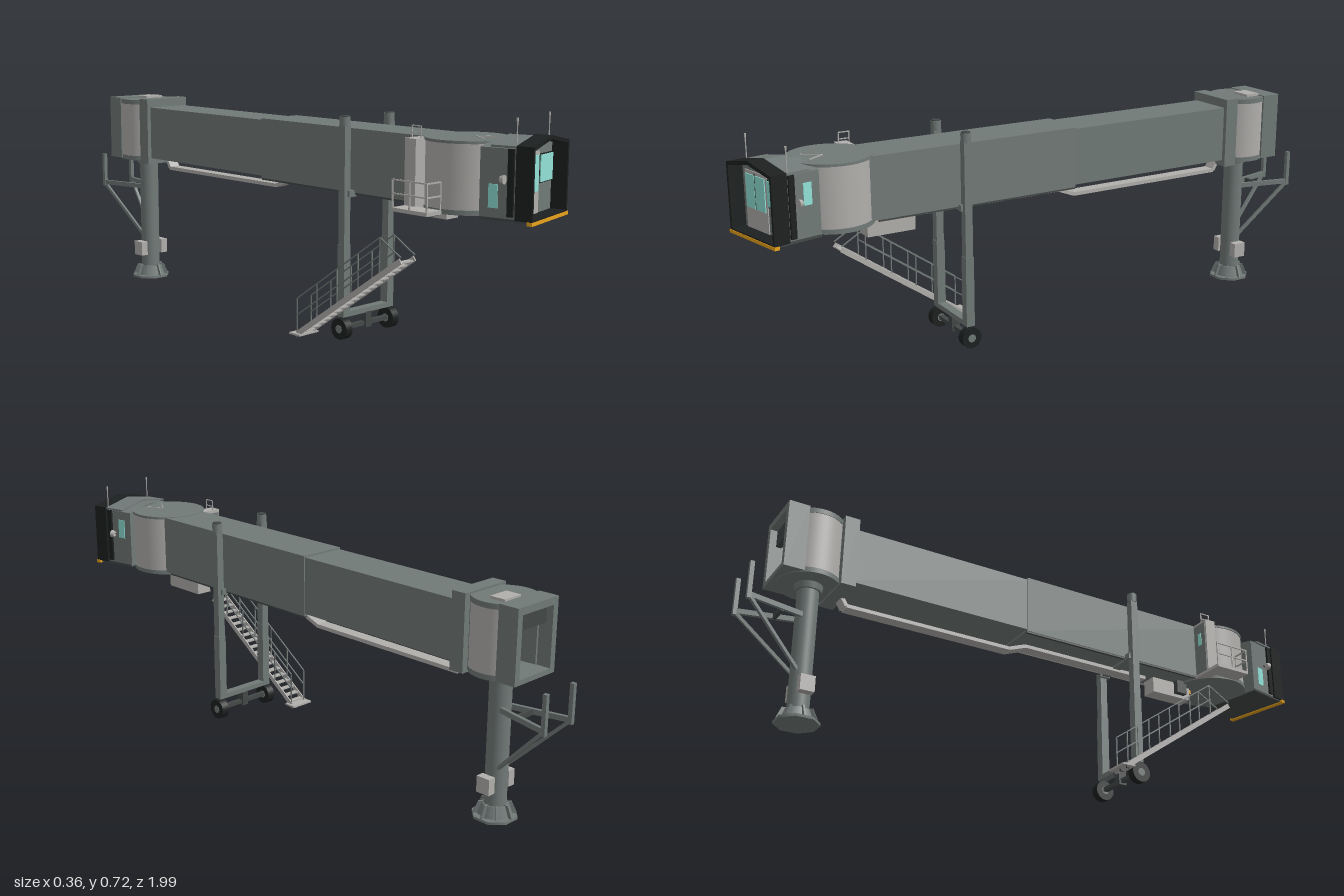
import * as THREE from 'three';

const mat = (name, color, side = THREE.FrontSide) => {
  const m = new THREE.MeshStandardMaterial({ color, side });
  m.name = name;
  return m;
};

export function createModel() {
  const steel = mat('steel grey', 0x717a78, THREE.DoubleSide);
  const light = mat('light grey', 0xb1afac, THREE.DoubleSide);
  const dark = mat('dark grey', 0x434847);
  const black = mat('black', 0x1d2020);
  const glass = mat('glass', 0x92e2d8);
  const yellow = mat('bumper yellow', 0xeba61a);

  const model = new THREE.Group();
  model.name = 'boardingBridge';
  let parent = model;
  const add = (name, geo, m, x = 0, y = 0, z = 0) => {
    const mesh = new THREE.Mesh(geo, m);
    mesh.name = name;
    mesh.position.set(x, y, z);
    parent.add(mesh);
    return mesh;
  };
  // Box given by its extents on each axis
  const box = (name, m, x0, x1, y0, y1, z0, z1) =>
    add(name, new THREE.BoxGeometry(x1 - x0, y1 - y0, z1 - z0), m, (x0 + x1) / 2, (y0 + y1) / 2, (z0 + z1) / 2);
  const cyl = (name, m, r0, r1, y0, y1, x, z, n = 32) =>
    add(name, new THREE.CylinderGeometry(r1, r0, y1 - y0, n), m, x, (y0 + y1) / 2, z);
  // Square bar between two points
  const bar = (name, m, a, b, w, h = w) => {
    const A = new THREE.Vector3(...a), B = new THREE.Vector3(...b);
    const mesh = add(name, new THREE.BoxGeometry(w, h, A.distanceTo(B)), m);
    mesh.position.copy(A).add(B).multiplyScalar(0.5);
    mesh.lookAt(B);
    return mesh;
  };
  const poly = (pts) => new THREE.Shape(pts.map(([x, y]) => new THREE.Vector2(x, y)));
  const extrude = (shape, depth) => new THREE.ExtrudeGeometry(shape, { depth, bevelEnabled: false });
  const rect = (x0, x1, y0, y1) => poly([[x0, y0], [x1, y0], [x1, y1], [x0, y1]]);

  const cx = 0.029; // tunnel centre line

  // Telescoping tunnel
  box('outerTunnel', steel, cx - 0.078, cx + 0.078, 0.452, 0.646, -0.08, 0.64);
  box('innerTunnel', steel, cx - 0.074, cx + 0.074, 0.459, 0.641, -0.70, -0.07);
  for (const s of [-1, 1]) {
    box('tunnelRail', dark, cx + s * 0.072 - 0.004, cx + s * 0.072 + 0.004, 0.446, 0.452, -0.08, 0.6);
  }

  // Cable tray and boxes under the tunnel
  const tray = [[0.44, 0.44], [-0.04, 0.44], [-0.10, 0.417], [-0.67, 0.417], [-0.69, 0.45]];
  for (let i = 0; i < tray.length - 1; i++) {
    const [z0, y0] = tray[i], [z1, y1] = tray[i + 1];
    bar('cableTray', light, [0.05, y0, z0], [0.05, y1, z1], 0.04, 0.012);
  }
  box('equipmentBox', light, 0.033, 0.086, 0.398, 0.455, 0.475, 0.63);
  box('junctionBox', dark, 0.008, 0.028, 0.406, 0.455, 0.56, 0.60);
  box('warningLamp', yellow, 0.034, 0.042, 0.425, 0.438, 0.63, 0.638);

  // Rear rotunda with an open doorway
  const rz = -0.795;
  box('rotundaCollar', steel, cx - 0.088, cx + 0.088, 0.438, 0.67, -0.727, -0.68);
  box('rotundaDoorway', dark, cx - 0.06, cx + 0.06, 0.462, 0.63, -0.73, -0.727);
  cyl('rotundaRoof', steel, 0.096, 0.096, 0.648, 0.664, cx, rz, 40);
  cyl('rotundaFloor', steel, 0.096, 0.096, 0.445, 0.461, cx, rz, 40);
  for (const a of [0.2, 1.2]) {
    add('rotundaCurtain', new THREE.CylinderGeometry(0.094, 0.094, 0.2, 20, 1, true, Math.PI * a, Math.PI * 0.6),
      light, cx, 0.554, rz);
  }
  const portal = rect(cx - 0.088, cx + 0.088, 0.447, 0.667);
  portal.holes.push(rect(cx - 0.068, cx + 0.068, 0.462, 0.645));
  add('rearPortal', extrude(portal, 0.065), steel, 0, 0, -0.907);
  for (const s of [-1, 1]) {
    box('innerWall', steel, cx + s * 0.066 - 0.002, cx + s * 0.066 + 0.002, 0.46, 0.648, -0.86, -0.728);
  }
  box('rollerShutter', dark, cx - 0.068, cx + 0.068, 0.59, 0.645, -0.885, -0.855);
  box('roofUnit', light, 0.02, 0.09, 0.664, 0.672, -0.84, -0.79);

  // Pedestal column
  cyl('pedestal', steel, 0.033, 0.033, 0, 0.43, cx, rz);
  cyl('pedestalHead', steel, 0.04, 0.044, 0.425, 0.446, cx, rz);
  cyl('pedestalBase', steel, 0.068, 0.068, 0, 0.008, cx, rz, 8).rotation.y = Math.PI / 8;
  for (let i = 0; i < 8; i++) {
    const g = extrude(poly([[0.03, 0.008], [0.064, 0.008], [0.048, 0.045], [0.03, 0.045]]), 0.005);
    add('baseGusset', g.translate(0, 0, -0.0025), steel, cx, 0, rz).rotation.y = (i * Math.PI) / 4;
  }
  cyl('baseCollar', steel, 0.052, 0.04, 0.008, 0.042, cx, rz, 8);
  for (const s of [-1, 1]) {
    const bx = cx + s * 0.045, px = cx + s * 0.061;
    box('controlBox', light, bx - 0.013, bx + 0.013, 0.085, 0.135, -0.815, -0.77);
    // Stand bracket behind the pedestal
    bar('bracketPost', steel, [px, 0.325, -0.991], [px, 0.445, -0.991], 0.013);
    bar('bracketArm', steel, [cx + s * 0.02, 0.338, -0.81], [px, 0.338, -0.991], 0.011, 0.016);
    bar('bracketBrace', steel, [cx + s * 0.02, 0.16, -0.815], [px, 0.33, -0.985], 0.010);
  }
  bar('bracketCrossBar', dark, [cx - 0.034, 0.336, -0.88], [cx + 0.034, 0.336, -0.88], 0.01, 0.016);

  // Lift columns, axle and wheels
  const lz = 0.32, lx = 0.025;
  for (const s of [-1, 1]) {
    const x = lx + s * 0.097, wx = lx + s * 0.104;
    box('lowerLiftColumn', steel, x - 0.014, x + 0.014, 0.07, 0.295, lz - 0.014, lz + 0.014);
    box('upperLiftColumn', steel, x - 0.0125, x + 0.0125, 0.295, 0.655, lz - 0.0125, lz + 0.0125);
    cyl('columnCap', steel, 0.016, 0.016, 0.652, 0.682, x, lz, 16);
    cyl('columnLid', dark, 0.014, 0.014, 0.682, 0.685, x, lz, 16);
    add('tire', new THREE.CylinderGeometry(0.033, 0.033, 0.027, 28).rotateZ(Math.PI / 2), black, wx, 0.033, lz);
    add('wheelHub', new THREE.CylinderGeometry(0.013, 0.013, 0.029, 16).rotateZ(Math.PI / 2), steel, wx, 0.033, lz);
    box('liftBracket', steel, Math.min(x, cx + s * 0.07), Math.max(x, cx + s * 0.07), 0.44, 0.46, lz - 0.02, lz + 0.02);
  }
  box('crossBeam', steel, -0.086, 0.136, 0.07, 0.086, lz - 0.014, lz + 0.014);
  box('axle', dark, -0.07, 0.12, 0.028, 0.041, lz - 0.008, lz + 0.008);
  box('bogiePivot', dark, 0.013, 0.037, 0.022, 0.072, lz - 0.014, lz + 0.014);
  box('liftBeam', steel, -0.07, 0.12, 0.442, 0.453, lz - 0.014, lz + 0.014);

  // Front rotunda
  const fx = 0.022, fz = 0.712;
  cyl('cabRotunda', light, 0.122, 0.122, 0.455, 0.64, fx, fz, 48);
  cyl('cabRotundaRoof', steel, 0.125, 0.125, 0.64, 0.648, fx, fz, 48);
  cyl('cabRotundaFloor', steel, 0.125, 0.125, 0.443, 0.457, fx, fz, 48);
  for (const s of [-1, 1]) bar('roofHandle', light, [cx, 0.65, 0.735], [cx + s * 0.035, 0.65, 0.79], 0.003);

  // Service door, landing and roof rail
  box('serviceVestibule', light, -0.117, -0.03, 0.445, 0.645, 0.6, 0.64);
  box('serviceDoor', steel, -0.112, -0.055, 0.455, 0.635, 0.597, 0.6);
  box('serviceWindow', glass, -0.092, -0.076, 0.555, 0.6, 0.595, 0.597);
  box('landing', light, -0.17, -0.108, 0.443, 0.454, 0.6, 0.73);
  for (const y of [0.494, 0.533]) {
    bar('landingRail', light, [-0.168, y, 0.602], [-0.168, y, 0.728], 0.004);
    bar('landingRail', light, [-0.168, y, 0.728], [-0.11, y, 0.728], 0.004);
  }
  for (const [x, z] of [[-0.168, 0.602], [-0.168, 0.665], [-0.168, 0.728], [-0.112, 0.728]]) {
    bar('landingPost', light, [x, 0.45, z], [x, 0.535, z], 0.004);
  }
  for (const z of [0.602, 0.636]) {
    const y = 0.645 + (z - 0.58) * 0.6;
    bar('roofRailPost', light, [-0.09, 0.645, z], [-0.09, 0.68, z], 0.003);
    bar('roofRail', light, [-0.09, y, 0.602], [-0.09, y, 0.636], 0.003);
  }

  // Service stairs
  const foot = [0.215, 0.012], head = [0.635, 0.305];
  const at = (t, up = 0) => [foot[1] + (head[1] - foot[1]) * t + up, foot[0] + (head[0] - foot[0]) * t];
  for (const x of [-0.167, -0.108]) {
    bar('stairStringer', light, [x, ...at(0)], [x, ...at(1)], 0.004, 0.016);
    for (const up of [0.06, 0.112]) bar('handrail', steel, [x, ...at(0, up)], [x, ...at(0.81, up)], 0.0035);
    bar('handrailEnd', steel, [x, ...at(0.81, 0.112)], [x, ...at(1, 0.01)], 0.0035);
    for (let i = 0; i < 5; i++) bar('handrailPost', steel, [x, ...at(i * 0.2025)], [x, ...at(i * 0.2025, 0.112)], 0.0035);
  }
  for (let i = 0; i < 18; i++) {
    const [y, z] = at((i + 0.5) / 18);
    box('tread', light, -0.167, -0.108, y - 0.002, y + 0.002, z - 0.01, z + 0.01);
  }
  box('stairFoot', light, -0.178, -0.097, 0.008, 0.014, 0.19, 0.235);
  for (const x of [-0.172, -0.138, -0.103]) box('stairCaster', dark, x - 0.003, x + 0.003, 0, 0.009, 0.205, 0.217);

  // Cab, turned a little to its left
  const cab = new THREE.Group();
  cab.name = 'cab';
  cab.position.set(0.008, 0, 0.717);
  cab.rotation.y = 0.21;
  model.add(cab);
  parent = cab;
  const gable = (w, y0, eave, peak) => poly([[-w, y0], [w, y0], [w, eave], [0, peak], [-w, eave]]);
  add('cabBody', extrude(gable(0.108, 0.445, 0.638, 0.656), 0.112), steel, 0, 0, 0.098);
  add('cabRoofStep', extrude(poly([[-0.112, 0.64], [0, 0.659], [0.112, 0.64], [0.112, 0.646], [0, 0.665], [-0.112, 0.646]]), 0.08),
    steel, 0, 0, 0.13);
  const hood = gable(0.116, 0.447, 0.647, 0.669);
  hood.holes.push(gable(0.108, 0.451, 0.638, 0.658));
  add('canopy', extrude(hood, 0.051), black, 0, 0, 0.206);
  for (const s of [-1, 1]) {
    const fold = s * 0.111, wx = s * 0.1085;
    box('bellowsFold', black, fold - 0.004, fold + 0.004, 0.455, 0.638, 0.182, 0.2);
    // The right window sits lower than the left one
    const y0 = s > 0 ? 0.543 : 0.475;
    box('sideWindow', glass, wx - 0.002, wx + 0.002, y0, y0 + 0.065, 0.125, 0.152);
    cyl('antenna', light, 0.0018, 0.0018, 0.645, 0.712, 0.004 + s * 0.104, 0.2, 8);
    cyl('antennaTip', light, 0.003, 0.003, 0.71, 0.721, 0.004 + s * 0.104, 0.2, 10);
    bar('lampArm', dark, [s * 0.105, 0.556, 0.168], [s * 0.118, 0.556, 0.168], 0.005);
    add('lamp', new THREE.CylinderGeometry(0.013, 0.009, 0.012, 18).rotateX(Math.PI / 2), light, s * 0.119, 0.556, 0.17);
  }
  box('cabFloor', dark, -0.11, 0.11, 0.441, 0.449, 0.1, 0.255);
  box('bumper', yellow, -0.119, 0.119, 0.437, 0.447, 0.243, 0.259);

  // Front wall: double door and window
  box('doorFrame', light, -0.094, 0.019, 0.45, 0.622, 0.209, 0.213);
  box('doorPaneLeft', glass, -0.087, -0.041, 0.513, 0.612, 0.212, 0.216);
  box('doorPaneRight', glass, -0.036, 0.011, 0.513, 0.612, 0.212, 0.216);
  box('doorSplit', dark, -0.0395, -0.0375, 0.513, 0.618, 0.212, 0.216);
  box('windowFrame', black, 0.021, 0.106, 0.532, 0.613, 0.209, 0.213);
  box('frontWindow', glass, 0.0235, 0.1035, 0.535, 0.61, 0.212, 0.216);

  return model;
}
